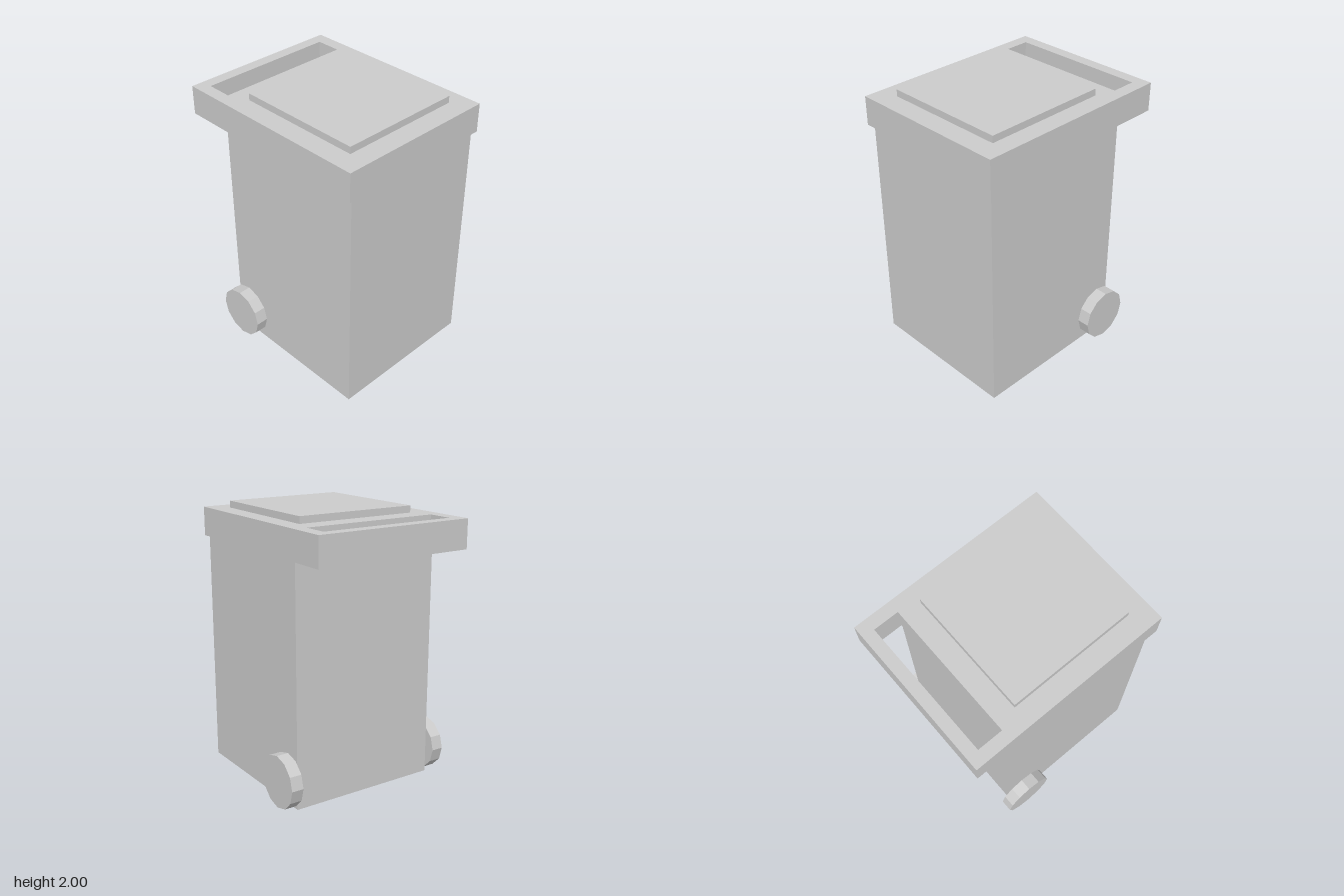
import * as THREE from 'three';

const material = new THREE.MeshStandardMaterial({ color: 0xcccccc, flatShading: true });

function addMesh(group, name, geometry) {
  const mesh = new THREE.Mesh(geometry, material);
  mesh.name = name;
  group.add(mesh);
  return mesh;
}

// Box given by its extents on each axis
function addBox(group, name, [x0, x1], [y0, y1], [z0, z1]) {
  const mesh = addMesh(group, name, new THREE.BoxGeometry(x1 - x0, y1 - y0, z1 - z0));
  mesh.position.set((x0 + x1) / 2, (y0 + y1) / 2, (z0 + z1) / 2);
}

// Rectangle outline in plan; shape y is -z
function rectangle(Type, [x0, x1], [z0, z1]) {
  const points = [[x0, -z1], [x1, -z1], [x1, -z0], [x0, -z0]];
  return new Type(points.map(([x, y]) => new THREE.Vector2(x, y)));
}

export function createModel() {
  const bin = new THREE.Group();
  bin.name = 'wheeledBin';

  addBox(bin, 'body', [-0.57, 0.565], [0.005, 1.74], [-0.45, 0.73]);

  // Lid slab overhanging the back, with a slot forming the handle
  const outline = rectangle(THREE.Shape, [-0.61, 0.59], [-0.757, 0.757]);
  outline.holes.push(rectangle(THREE.Path, [-0.52, 0.497], [-0.67, -0.483]));
  const lid = new THREE.ExtrudeGeometry(outline, { depth: 0.21, bevelEnabled: false });
  lid.rotateX(-Math.PI / 2);
  addMesh(bin, 'lid', lid).position.y = 1.74;

  addBox(bin, 'lidPanel', [-0.46, 0.455], [1.95, 2], [-0.333, 0.607]);

  // Twelve-sided wheels beside the rear corners
  const wheel = new THREE.CylinderGeometry(0.193, 0.193, 0.09, 12);
  wheel.rotateZ(Math.PI / 2);
  for (const [name, x] of [['leftWheel', 0.614], ['rightWheel', -0.616]]) {
    addMesh(bin, name, wheel).position.set(x, 0.197, -0.34);
  }

  return bin;
}
